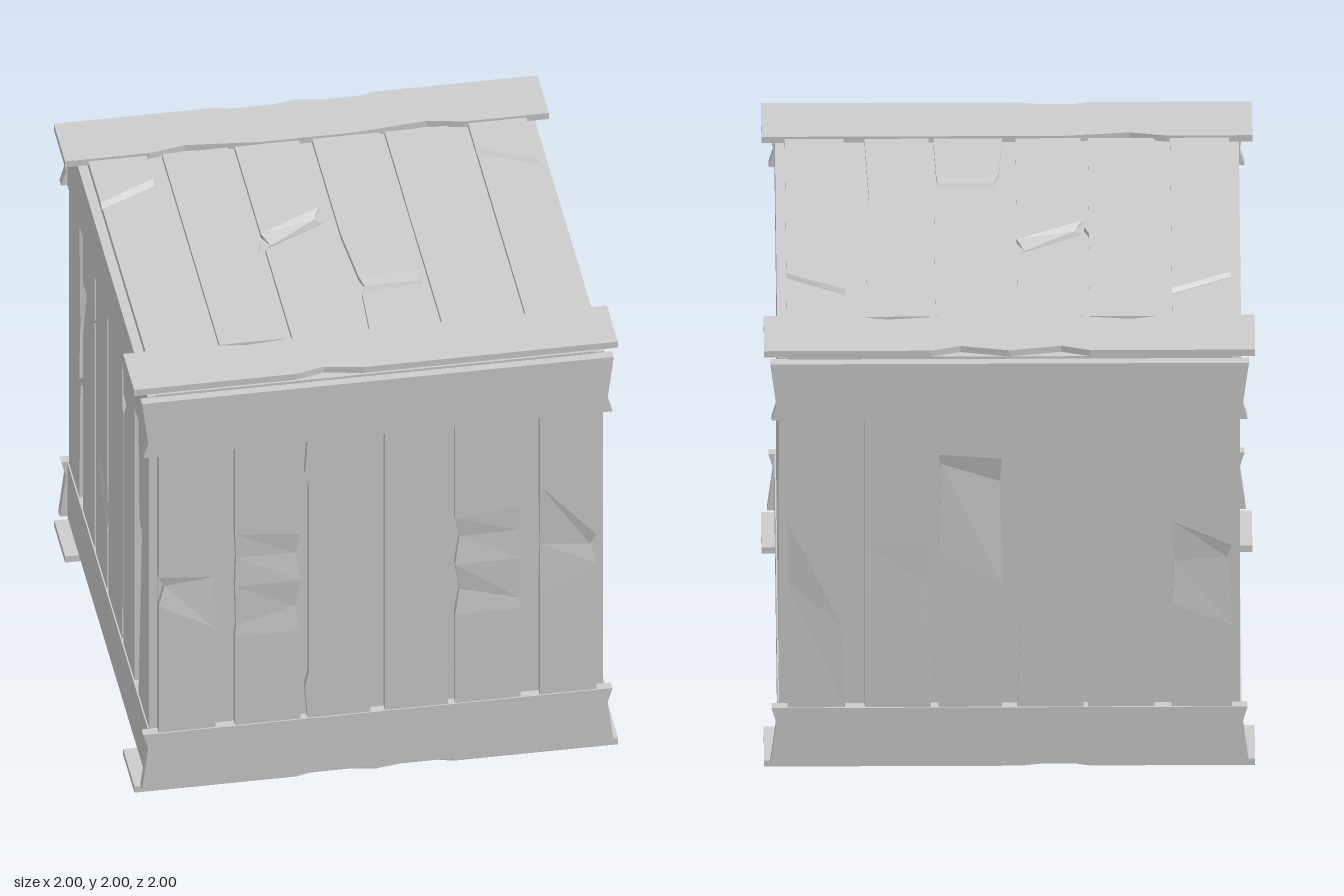
import * as THREE from 'three';

const wood = new THREE.MeshStandardMaterial({ color: 0xcccccc });
wood.name = 'grey wood';

// Plank in a face-on frame: u across, v along, w outward.
// Rows of nicks: [vLeft, vRight, shiftLeft, shiftRight, depthLeft, depthRight]
function plank(u0, u1, rows, half, base, top) {
  const all = [[-half, -half, 0, 0, 0, 0], ...rows, [half, half, 0, 0, 0, 0]];
  const rings = all.map(([va, vb, da, db, wa, wb]) => [
    [u0 + da, va, base], [u1 + db, vb, base],
    [u1 + db, vb, top + wb], [u0 + da, va, top + wa],
  ]);
  const pos = [];
  const quad = (a, b, c, d) => pos.push(...a, ...b, ...c, ...a, ...c, ...d);
  for (let i = 0; i < rings.length - 1; i++) {
    const p = rings[i], q = rings[i + 1];
    for (let k = 0; k < 4; k++) {
      const n = (k + 1) % 4;
      quad(p[k], q[k], q[n], p[n]);
    }
  }
  const e = rings[rings.length - 1];
  quad(rings[0][0], rings[0][1], rings[0][2], rings[0][3]);
  quad(e[3], e[2], e[1], e[0]);
  const g = new THREE.BufferGeometry();
  g.setAttribute('position', new THREE.Float32BufferAttribute(pos, 3));
  g.computeVertexNormals();
  const m = new THREE.Mesh(g, wood);
  m.name = 'plank';
  return m;
}

// Mirror a plank definition across u
const flip = ([u0, u1, rows = []]) =>
  [-u1, -u0, rows.map(([va, vb, da, db, wa, wb]) => [vb, va, -db, -da, wb, wa])];

function panel(name, defs, half, base, top) {
  const g = new THREE.Group();
  g.name = name;
  for (const [u0, u1, rows = []] of defs) g.add(plank(u0, u1, rows, half, base, top));
  return g;
}

// Flat board cut from an outline, lying between w0 and w1
function board(name, pts, w0, w1) {
  const shape = new THREE.Shape(pts.map(p => new THREE.Vector2(...p)));
  const g = new THREE.ExtrudeGeometry(shape, { depth: w1 - w0, bevelEnabled: false });
  g.translate(0, 0, w0);
  const m = new THREE.Mesh(g, wood);
  m.name = name;
  return m;
}

// Front planks: the right half mirrors the left half
const frontHalf = [
  [-0.905, -0.67, [[-0.06, -0.2, 0, 0, 0, 0], [0.03, 0.05, 0.025, -0.004, -0.012, -0.012], [0.08, 0.35, 0, 0, 0, 0]]],
  [-0.59, -0.32, [[-0.25, -0.25, 0, 0, 0, 0], [-0.2, -0.13, 0.005, -0.02, -0.005, -0.012], [0, 0, 0, 0, 0, 0],
    [0.14, 0.13, 0.005, -0.02, -0.005, -0.012], [0.26, 0.23, 0, 0, 0, 0]]],
  [-0.29, -0.03, [[-0.53, -0.53, -0.01, 0, 0, 0], [-0.47, -0.47, 0.005, 0, 0, 0],
    [0.47, 0.47, 0.005, 0, 0, 0], [0.53, 0.53, -0.01, 0, 0, 0]]],
];
const front = [...frontHalf, ...frontHalf.map(flip)];

const side = [
  [-0.95, -0.705, [[0.13, 0.13, 0, -0.025, 0, -0.01], [0.2, 0.2, 0, -0.02, 0, 0]]],
  [-0.61, -0.35, [[0.45, 0.45, 0, 0, 0, 0], [0.48, 0.5, 0, -0.005, 0, -0.01], [0.5, 0.56, 0, 0, 0, 0]]],
  [-0.315, 0.01, [[-0.54, -0.54, 0, 0, 0, 0], [-0.48, -0.48, -0.015, 0, 0, 0],
    [0.46, 0.46, -0.015, 0, 0, 0], [0.52, 0.52, 0, 0, 0, 0]]],
  [0.05, 0.31, [[-0.4, -0.2, 0, 0, 0, 0], [-0.31, -0.14, 0.02, 0, -0.02, 0],
    [-0.25, -0.08, -0.015, 0, 0, 0], [0.06, 0.06, 0, 0, 0, 0]]],
  [0.345, 0.61, [[0.25, 0.2, 0, 0, 0, 0], [0.42, 0.41, 0.01, -0.01, -0.003, -0.015], [0.44, 0.44, 0, 0, 0, 0]]],
  [0.70, 0.95, [[-0.15, -0.15, 0.025, 0, -0.008, 0], [-0.1, -0.1, 0.005, 0, 0, 0], [0.15, 0.15, 0.025, 0, -0.008, 0]]],
];

const back = [
  [-0.905, -0.67, [[-0.1, -0.3, 0, -0.01, -0.01, 0], [0.2, 0.05, 0, 0, 0, 0]]],
  [-0.59, -0.32, [[-0.1, -0.1, 0, -0.02, 0, -0.005], [0.1, 0.1, 0, 0, 0, 0]]],
  [-0.29, -0.03, [[0.05, -0.1, 0, 0, 0, 0], [0.47, 0.38, 0.01, -0.01, -0.01, -0.022], [0.52, 0.5, 0, 0, 0, 0]]],
  [0.03, 0.3, [[-0.3, -0.3, 0.015, 0, 0, 0], [-0.2, -0.2, 0, 0, 0, 0]]],
  [0.32, 0.59, [[0.2, 0.2, 0, -0.015, 0, 0], [0.3, 0.3, 0, 0, 0, 0]]],
  [0.66, 0.905, [[-0.2, -0.3, 0, 0, 0, 0], [0, 0.02, 0.01, -0.02, -0.012, -0.012], [0.2, 0.08, 0, 0, 0, 0]]],
];

const groove = [-0.905, -0.665,
  [[0.345, 0.47, 0, 0, 0, 0], [0.36, 0.49, 0, 0, -0.016, -0.016], [0.39, 0.52, 0, 0, 0, 0]]];
const lid = [
  groove,
  [-0.6, -0.33, [[-0.05, -0.05, 0, 0, 0, 0], [0, 0, 0, 0.02, 0, 0], [0.05, 0.05, 0, 0, 0, 0]]],
  [-0.3, -0.035, [[-0.05, 0.09, 0, 0, 0, 0], [0, 0.15, 0.03, -0.03, -0.02, -0.02], [0.06, 0.21, 0, 0, 0, 0]]],
  [0.02, 0.3, [[-0.42, -0.4, 0.015, -0.01, 0, 0], [-0.36, -0.36, 0.035, -0.015, -0.01, -0.01],
    [-0.3, -0.3, 0.02, 0, 0, 0], [0, -0.2, 0, 0, 0, 0]]],
  [0.32, 0.58, [[-0.25, -0.22, 0, -0.015, 0, 0], [0.1, 0.2, 0, 0, -0.006, 0], [0.26, 0.38, 0, 0, 0, 0]]],
  flip(groove),
];

// Lid or floor: planks plus two chipped cross boards
function lidPanel(name) {
  const g = panel(name, lid, 0.685, 0.95, 0.992);
  g.add(board('backCrossBoard', [[-1, 0.69], [-0.65, 0.69], [-0.5, 0.72], [-0.2, 0.69], [0.2, 0.69], [0.5, 0.72],
    [0.65, 0.69], [1, 0.69], [1, 0.96], [0.32, 0.96], [0.2, 0.925], [0, 0.96], [-0.21, 0.925], [-0.33, 0.96],
    [-1, 0.96]], 0.97, 1));
  g.add(board('frontCrossBoard', [[-1, -0.95], [-0.33, -0.95], [-0.21, -0.92], [-0.05, -0.95], [1, -0.95],
    [1, -0.69], [-0.23, -0.69], [-0.5, -0.715], [-0.65, -0.69], [-1, -0.69]], 0.97, 1));
  return g;
}

export function createModel() {
  const model = new THREE.Group();
  model.name = 'crate';
  const body = new THREE.Group();
  body.name = 'crateBody';
  body.position.y = 1;
  model.add(body);

  const core = new THREE.Mesh(new THREE.BoxGeometry(1.81, 1.942, 1.92), wood);
  core.name = 'innerBox';
  body.add(core);

  // Front and back: planks with flared horizontal bands
  [['frontPanel', front, 0], ['backPanel', back, Math.PI]].forEach(([name, defs, turn]) => {
    const g = panel(name, defs, 0.69, 0.95, 0.992);
    for (const s of [1, -1]) {
      const pts = [[-0.97, 0.69], [0.97, 0.69], [0.95, 0.76], [0.975, 0.96], [-0.975, 0.96], [-0.95, 0.76]];
      g.add(board('band', pts.map(([x, y]) => [x, y * s]), 0.957, 0.998));
    }
    g.rotation.y = turn;
    body.add(g);
  });

  // Left and right sides: planks with straight bands
  [['leftPanel', side, 1], ['rightPanel', side.map(flip), -1]].forEach(([name, defs, s]) => {
    const g = panel(name, defs, 0.69, 0.89, 0.939);
    for (const y of [0.825, -0.825]) {
      const band = new THREE.Mesh(new THREE.BoxGeometry(1.9, 0.27, 0.05), wood);
      band.name = 'sideBand';
      band.position.set(0, y, 0.92);
      g.add(band);
    }
    g.rotation.y = s * Math.PI / 2;
    body.add(g);
  });

  // Lid and floor
  const top = lidPanel('lid'), bottom = lidPanel('floor');
  top.rotation.x = -Math.PI / 2;
  bottom.rotation.x = Math.PI / 2;
  body.add(top, bottom);
  return model;
}
